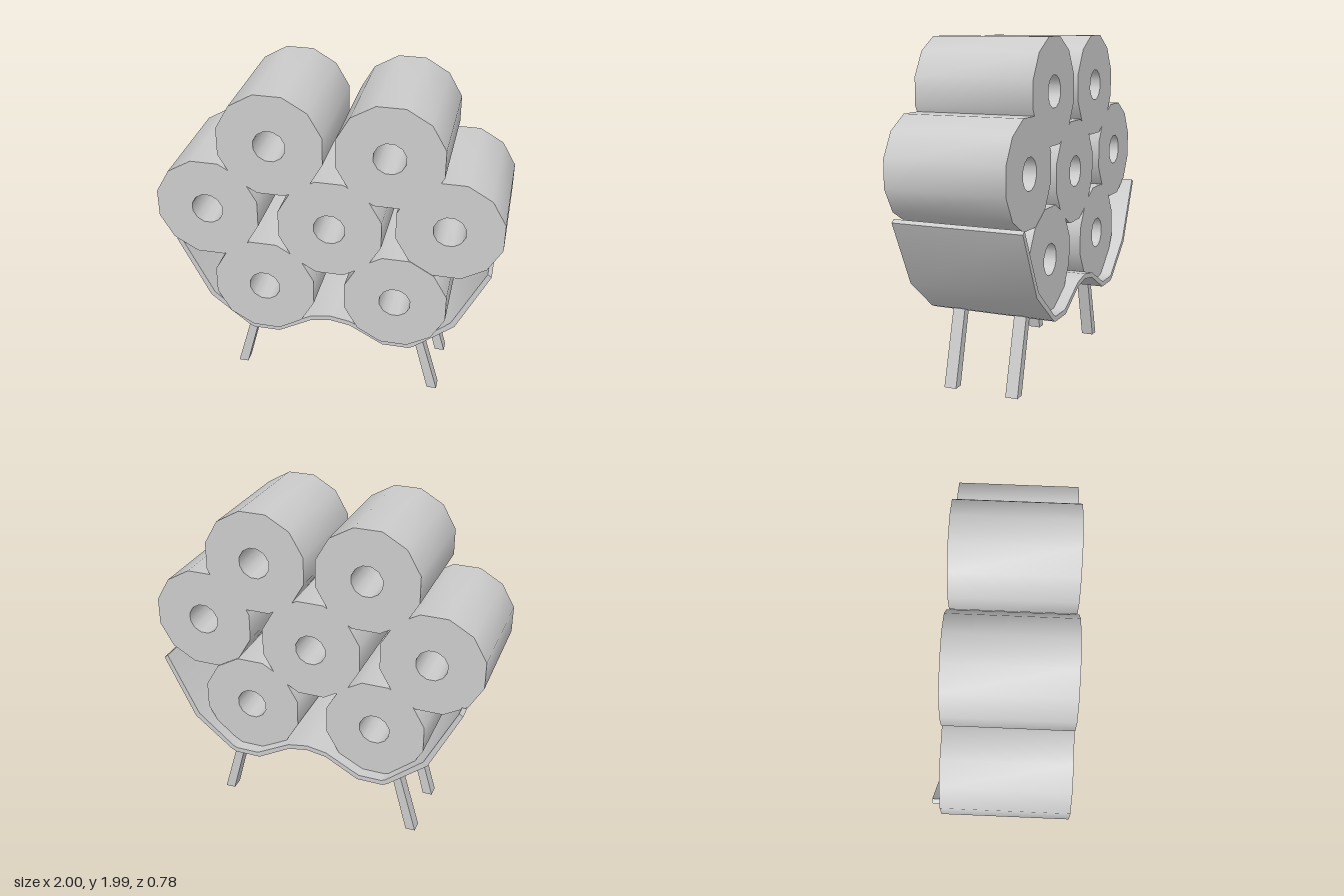
import * as THREE from 'three';
import { toCreasedNormals } from 'three/addons/utils/BufferGeometryUtils.js';

const material = new THREE.MeshStandardMaterial({ color: 0xcccccc });
const CENTRE = 0.02; // mirror line of the tray and legs

// Twelve-sided outline with a flat on top, measured by its flat-to-centre distance
function ring(apothem) {
  const r = apothem / Math.cos(Math.PI / 12);
  return Array.from({ length: 12 }, (_, i) => {
    const a = (i + 0.5) * Math.PI / 6;
    return new THREE.Vector2(r * Math.cos(a), r * Math.sin(a));
  });
}

// Extrude a shape between two depths, smooth round its curved sides
function slab(name, shape, zBack, zFront) {
  const geo = new THREE.ExtrudeGeometry(shape, { depth: zFront - zBack, bevelEnabled: false });
  geo.translate(0, 0, zBack);
  const mesh = new THREE.Mesh(toCreasedNormals(geo, Math.PI / 5), material);
  mesh.name = name;
  return mesh;
}

// Right half of an edge line, mirrored into a full left-to-right line
function mirrorLine(half) {
  const left = half.map(([x, y]) => new THREE.Vector2(CENTRE - x, y));
  const right = half.slice(0, -1).reverse().map(([x, y]) => new THREE.Vector2(CENTRE + x, y));
  return [...left, ...right];
}

export function createModel() {
  const model = new THREE.Group();
  model.name = 'rollRack';

  // Seven stacked hollow rolls
  const rollShape = new THREE.Shape(ring(0.3));
  rollShape.holes.push(new THREE.Path(ring(0.09)));
  const centres = [
    [-0.315, 1.69], [0.355, 1.69],
    [-0.7, 1.247], [0.02, 1.2], [0.7, 1.277],
    [-0.377, 0.75], [0.408, 0.75],
  ];
  centres.forEach(([x, y], i) => {
    const roll = slab(`roll${i + 1}`, rollShape, -0.32, 0.39);
    roll.position.set(x, y, 0);
    model.add(roll);
  });

  // Thin curved tray that cradles the lower rolls
  const under = mirrorLine([[0.93, 1.005], [0.745, 0.625], [0.51, 0.435], [0.48, 0.42],
    [0.32, 0.42], [0.12, 0.53], [0, 0.55]]);
  const over = mirrorLine([[0.907, 1.022], [0.72, 0.648], [0.495, 0.46], [0.47, 0.45],
    [0.33, 0.45], [0.12, 0.56], [0, 0.58]]);
  model.add(slab('tray', new THREE.Shape([...under, ...over.reverse()]), -0.39, 0.38));

  // Four splayed legs
  const legOutline = [[0.59, 0], [0.65, 0], [0.525, 0.44], [0.475, 0.435]];
  for (const side of [-1, 1]) {
    const shape = new THREE.Shape(legOutline.map(([x, y]) => new THREE.Vector2(CENTRE + side * x, y)));
    for (const [end, z] of [['front', 0.19], ['back', -0.195]]) {
      model.add(slab(`${end}${side > 0 ? 'Left' : 'Right'}Leg`, shape, z - 0.037, z + 0.037));
    }
  }
  return model;
}
